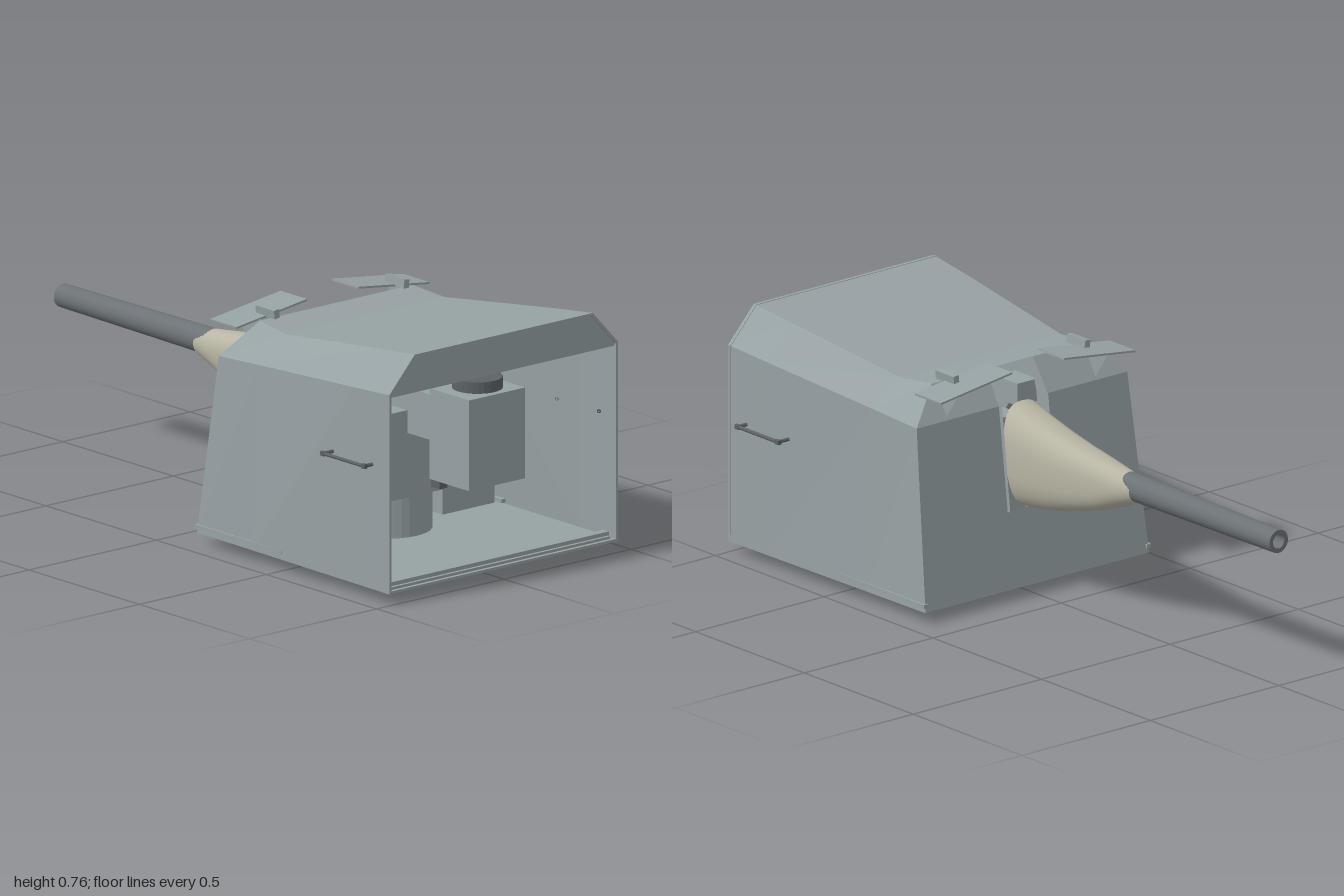
import * as THREE from 'three';

const material = (color) => new THREE.MeshStandardMaterial({ color, side: THREE.DoubleSide });
const flat = (color) => { const m = material(color); m.flatShading = true; return m; };
const PAINT = flat(0x96a1a3), DARK = flat(0x5c6266), STEEL = material(0x6c7276), CANVAS = material(0xb8b5a4);

export function createModel() {
  const model = new THREE.Group();
  model.name = 'gunTurret';

  const add = (name, geometry, mat, x = 0, y = 0, z = 0) => {
    const mesh = new THREE.Mesh(geometry, mat);
    mesh.name = name;
    mesh.position.set(x, y, z);
    model.add(mesh);
    return mesh;
  };
  // Box given by its limits on each axis
  const box = (name, x0, x1, y0, y1, z0, z1, mat = PAINT) =>
    add(name, new THREE.BoxGeometry(Math.abs(x1 - x0), y1 - y0, z1 - z0), mat, (x0 + x1) / 2, (y0 + y1) / 2, (z0 + z1) / 2);
  // Plates from four-cornered faces
  const plates = (name, quads, mat = PAINT) => {
    const pos = [];
    for (const [a, b, c, d] of quads) for (const p of [a, b, c, a, c, d]) pos.push(...p);
    const g = new THREE.BufferGeometry();
    g.setAttribute('position', new THREE.Float32BufferAttribute(pos, 3));
    g.computeVertexNormals();
    return add(name, g, mat);
  };
  const extrude = (name, points, depth, z, hole) => {
    const shape = new THREE.Shape(points.map((p) => new THREE.Vector2(...p)));
    if (hole) shape.holes.push(new THREE.Path(hole.map((p) => new THREE.Vector2(...p))));
    return add(name, new THREE.ExtrudeGeometry(shape, { depth, bevelEnabled: false }), PAINT, 0, 0, z);
  };
  const rodX = (name, r, x0, x1, y, z, mat = DARK) =>
    add(name, new THREE.CylinderGeometry(r, r, Math.abs(x1 - x0), 20).rotateZ(Math.PI / 2), mat, (x0 + x1) / 2, y, z);

  // Housing sections from open end to gun end: bottom, shoulder, roof edge
  const sections = [
    [[0.45, 0.035, 1], [0.45, 0.65, 1], [0.35, 0.757, 1]],
    [[0.447, 0.035, 0.83], [0.443, 0.638, 0.83], [0.341, 0.738, 0.83]],
    [[0.439, 0.035, 0.37], [0.42, 0.605, 0.37], [0.312, 0.68, 0.37]],
    [[0.435, 0.035, 0.11], [0.41, 0.59, 0.18], [0.3, 0.692, 0.24]],
  ];
  const flip = ([x, y, z]) => [-x, y, z];
  const loops = sections.map((s) => [...s, ...s.map(flip).reverse()]);
  const skin = [];
  for (let i = 0; i < 3; i++) {
    for (let j = 0; j < 6; j++) {
      const k = (j + 1) % 6;
      skin.push([loops[i][j], loops[i + 1][j], loops[i + 1][k], loops[i][k]]);
    }
  }
  plates('housingShell', skin);

  // Gun-end wall, with a slot for the gun
  const slot = 0.09, slotY = 0.27;
  const wallZ = (y) => 0.11 + 0.07 * (y - 0.035) / 0.555;
  const wall = [[[-slot, 0.035, 0.11], [-slot, slotY, wallZ(slotY)], [slot, slotY, wallZ(slotY)], [slot, 0.035, 0.11]]];
  const half = [
    [[slot, 0.035, 0.11], [slot, 0.59, 0.18], [0.41, 0.59, 0.18], [0.435, 0.035, 0.11]],
    [[slot, 0.59, 0.18], [slot, 0.692, 0.24], [0.3, 0.692, 0.24], [0.41, 0.59, 0.18]],
    // Slot cheek
    [[slot, slotY, wallZ(slotY) - 0.012], [slot, 0.59, 0.165], [slot, 0.59, 0.22], [slot, slotY, 0.19]],
    [[slot, 0.59, 0.165], [slot, 0.692, 0.235], [slot, 0.692, 0.25], [slot, 0.59, 0.22]],
  ];
  for (const q of half) wall.push(q, q.map(flip).reverse());
  plates('slottedWall', wall);

  // Frame and header around the open end
  const outline = (w, b, s, rx, r) => [[-w, b], [w, b], [w, s], [rx, r], [-rx, r], [-w, s]];
  extrude('openingFrame', outline(0.45, 0.035, 0.65, 0.35, 0.757), 0.012, 0.988, outline(0.442, 0.043, 0.646, 0.345, 0.749));
  extrude('openingHeader', outline(0.443, 0.638, 0.646, 0.345, 0.75), 0.008, 0.985);
  box('sill', -0.435, 0.435, 0.05, 0.062, 0.95, 0.975);
  box('floor', -0.43, 0.43, 0.036, 0.05, 0.13, 0.985);

  // Turning ring beneath
  add('baseRing', new THREE.CylinderGeometry(0.18, 0.18, 0.036, 40), DARK, 0, 0.018, 0.48);

  // Barrel with an open bore
  const bore = [[0.036, 0], [0.04, 0.45], [0.042, 0.66], [0.044, 1.3], [0.022, 1.3], [0.022, 0], [0.036, 0]];
  const barrel = add('barrel', new THREE.LatheGeometry(bore.map((p) => new THREE.Vector2(...p)), 28), STEEL, 0, 0.452, -1);
  barrel.material = flat(0x6c7276);
  barrel.rotation.x = Math.PI / 2;

  // Fabric gun cover: z top, z bottom, y top, y bottom, half width
  const cover = [
    [0.18, 0.13, 0.59, 0.275, 0.087], [0.09, 0.06, 0.563, 0.283, 0.084], [0, -0.01, 0.541, 0.295, 0.079],
    [-0.1, -0.1, 0.522, 0.317, 0.07], [-0.2, -0.2, 0.507, 0.345, 0.06], [-0.29, -0.29, 0.497, 0.377, 0.05],
    [-0.36, -0.36, 0.489, 0.405, 0.043], [-0.362, -0.362, 0.47, 0.43, 0.02],
  ];
  const N = 32, verts = [], index = [];
  cover.forEach(([zt, zb, yt, yb, w], i) => {
    for (let j = 0; j < N; j++) {
      const a = (j / N) * Math.PI * 2, c = Math.cos(a), s = Math.sin(a);
      const e = i < 5 ? 0.75 : 1;
      const t = (Math.sign(s) * Math.abs(s) ** e + 1) / 2;
      verts.push(w * Math.sign(c) * Math.abs(c) ** e, yb + (yt - yb) * t, zb + (zt - zb) * t);
      if (i) {
        const k = (j + 1) % N, p = (i - 1) * N, q = i * N;
        index.push(p + j, p + k, q + k, p + j, q + k, q + j);
      }
    }
  });
  const coverGeometry = new THREE.BufferGeometry();
  coverGeometry.setAttribute('position', new THREE.Float32BufferAttribute(verts, 3));
  coverGeometry.setIndex(index);
  coverGeometry.computeVertexNormals();
  add('gunCover', coverGeometry, CANVAS);

  // Breech, cradle and pedestal inside
  box('breechBlock', -0.11, 0.11, 0.285, 0.565, 0.79, 0.97);
  add('breechCap', new THREE.CylinderGeometry(0.076, 0.076, 0.035, 28), DARK, 0, 0.585, 0.88);
  box('recoilSlide', -0.05, 0.05, 0.38, 0.52, 0.25, 0.8);
  box('cradle', -0.132, 0.132, 0.18, 0.45, 0.32, 0.62);
  add('pedestal', new THREE.CylinderGeometry(0.135, 0.135, 0.14, 32), PAINT, 0, 0.115, 0.47);
  box('firingLever', -0.07, -0.04, 0.245, 0.29, 0.75, 0.79, DARK);

  for (const s of [-1, 1]) {
    // Cabinets beside the gun
    const cabinet = [[0.21, 0.05], [0.415, 0.05], [0.405, 0.58], [0.36, 0.628], [0.21, 0.628]].map(([x, y]) => [x * s, y]);
    extrude('cabinet', cabinet, 0.26, 0.22);
    box('sightBox', s * 0.135, s * 0.21, 0.495, 0.565, 0.36, 0.46);
    // Trunnions
    rodX('trunnion', 0.01, s * 0.1, s * 0.21, 0.425, 0.44);
    rodX('trunnionDisc', 0.048, s * 0.195, s * 0.21, 0.425, 0.44);
    rodX('trunnionHub', 0.048, s * 0.115, s * 0.142, 0.425, 0.44);

    // Side grab handles
    const handle = [[0.437, 0.735], [0.48, 0.735], [0.48, 0.92], [0.44, 0.92]];
    for (let i = 0; i < 3; i++) {
      const curve = new THREE.LineCurve3(...[handle[i], handle[i + 1]].map(([x, z]) => new THREE.Vector3(s * x, 0.42, z)));
      add('grabHandle', new THREE.TubeGeometry(curve, 1, 0.006, 8), DARK);
    }
    for (const z of [0.735, 0.92]) box('handleEnd', s * 0.474, s * 0.486, 0.413, 0.427, z - 0.008, z + 0.008, DARK);
    // Lower side rail
    box('sideRail', s * 0.425, s * 0.442, 0.05, 0.062, 0.108, 0.5);

    // Sloping sight flap with its hinge block and bracket
    const flap = box('sightFlap', s * 0.1, s * 0.38, 0.695, 0.701, 0.105, 0.225);
    flap.rotation.z = -s * 0.13;
    const block = box('flapHinge', s * 0.245, s * 0.265, 0.695, 0.722, 0.18, 0.265);
    block.rotation.z = -s * 0.13;
    plates('flapBracket', [[[s * 0.29, 0.692, 0.12], [s * 0.29, 0.692, 0.24], [s * 0.29, 0.6, 0.185], [s * 0.29, 0.64, 0.17]]]);
    // Sight shutter on the wall
    plates('sightShutter', [[[0.15, 0.57], [0.28, 0.57], [0.26, 0.4], [0.18, 0.4]].map(([x, y]) => [s * x, y, wallZ(y) - 0.003])]);
  }
  return model;
}
